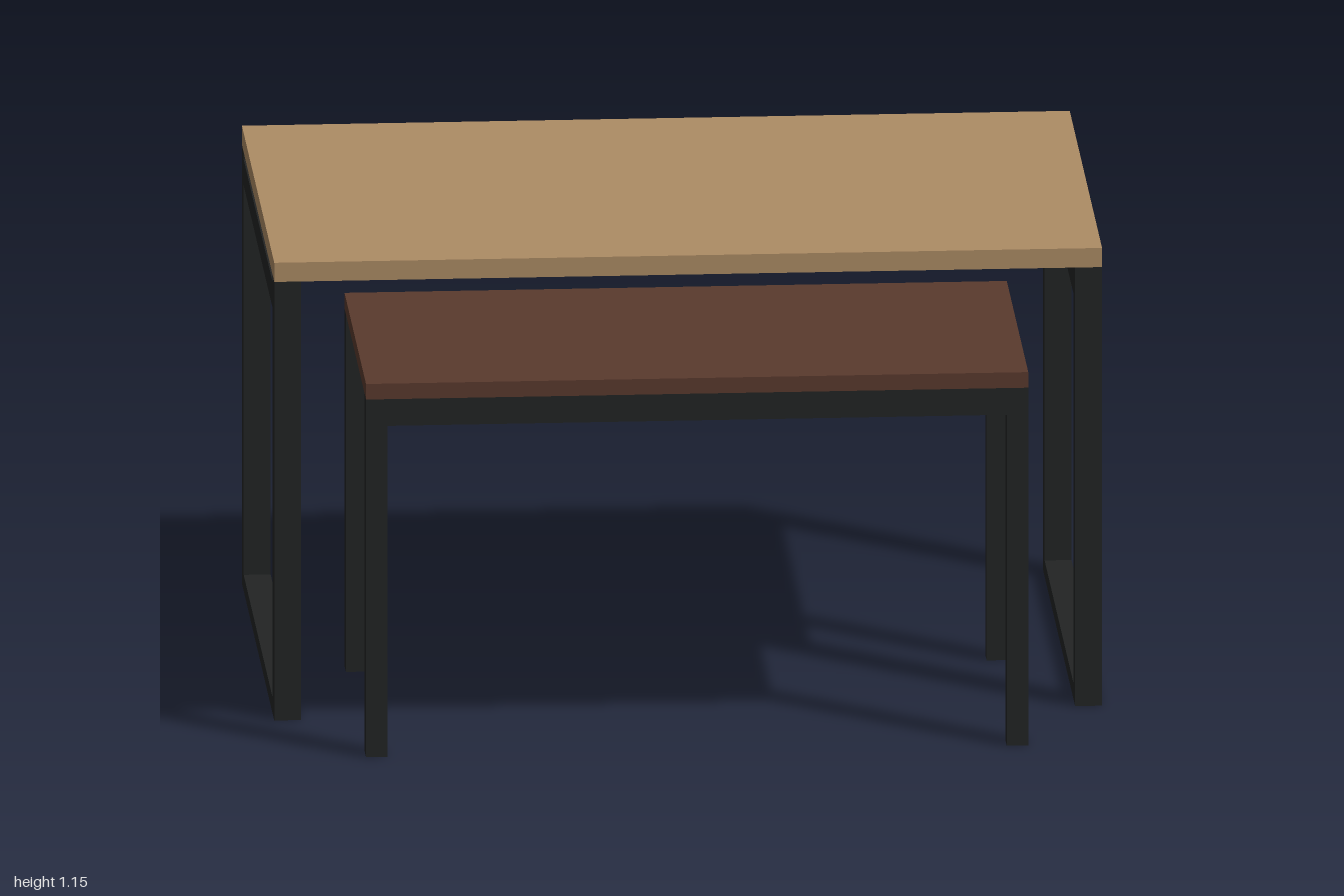
import * as THREE from 'three';

const lightWood = new THREE.MeshStandardMaterial({ color: 0xad8c65 });
lightWood.name = 'lightWood';
const darkWood = new THREE.MeshStandardMaterial({ color: 0x5a3a2d });
darkWood.name = 'darkWood';
const blackSteel = new THREE.MeshStandardMaterial({ color: 0x222424 });
blackSteel.name = 'blackSteel';

// Box given by its lower and upper corner
function bar(parent, name, material, [x0, y0, z0], [x1, y1, z1]) {
  const mesh = new THREE.Mesh(new THREE.BoxGeometry(x1 - x0, y1 - y0, z1 - z0), material);
  mesh.position.set((x0 + x1) / 2, (y0 + y1) / 2, (z0 + z1) / 2);
  mesh.name = name;
  parent.add(mesh);
}

// Table top on four square corner legs
function makeTable(name, wood, halfWidth, back, front, legTop, top, leg) {
  const table = new THREE.Group();
  table.name = name;
  bar(table, 'tableTop', wood, [-halfWidth, legTop, back], [halfWidth, top, front]);
  for (const x of [-halfWidth, halfWidth - leg]) {
    for (const z of [back, front - leg]) {
      bar(table, 'leg', blackSteel, [x, 0, z], [x + leg, legTop, z + leg]);
    }
  }
  return table;
}

export function createModel() {
  const model = new THREE.Group();
  model.name = 'nestingTables';

  // Large table: closed side frames and one rail at the back
  const leg = 0.065, back = -0.767, front = 0.433;
  const large = makeTable('largeTable', lightWood, 1, back, front, 1.1, 1.148, leg);
  for (const x of [-1, 1 - leg]) {
    bar(large, 'upperSideRail', blackSteel, [x, 1.017, back + leg], [x + leg, 1.082, front - leg]);
    bar(large, 'floorRail', blackSteel, [x, 0, back + leg], [x + leg, 0.04, front - leg]);
  }
  bar(large, 'backRail', blackSteel, [-1 + leg, 1.017, back], [1 - leg, 1.082, back + leg]);

  // Small table: open sides, rails along front and back
  const thin = 0.052, near = 0.767, far = -0.031;
  const small = makeTable('smallTable', darkWood, 0.8, far, near, 0.897, 0.936, thin);
  for (const z of [far, near - thin]) {
    bar(small, 'longRail', blackSteel, [-0.8 + thin, 0.83, z], [0.8 - thin, 0.897, z + thin]);
  }

  model.add(large, small);
  return model;
}
